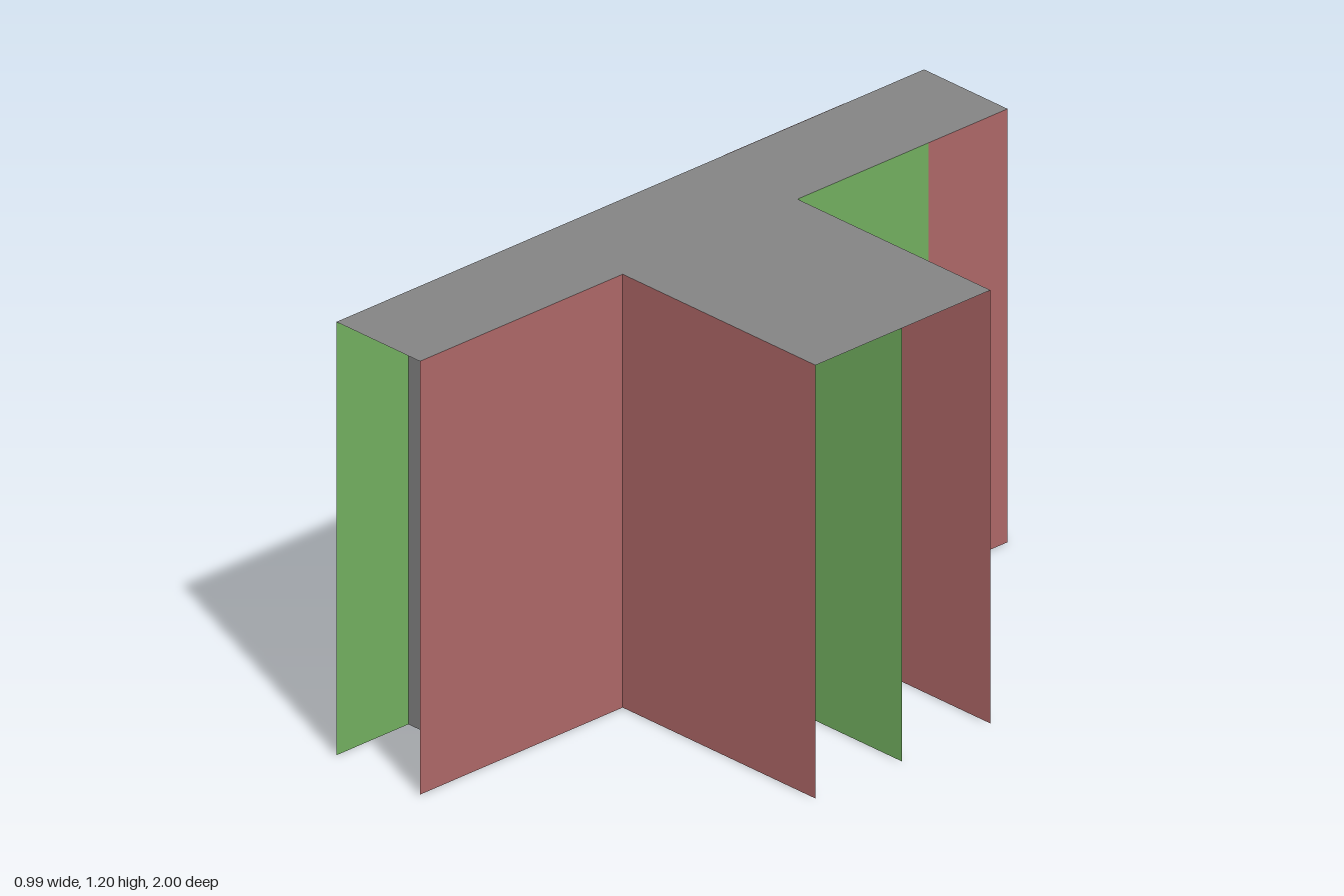
import * as THREE from 'three';

const H = 1.195;             // overall height
const BACK = -0.493, MID = -0.195, END = 0.493;   // x of bar and stem edges
const STEM_BACK = -0.285, CENTRE = 0.016, STEM_FRONT = 0.31;

export function createModel() {
  const group = new THREE.Group();
  group.name = 'teeShapedShell';

  const material = (color) => new THREE.MeshStandardMaterial({ color, side: THREE.DoubleSide });
  const darkGrey = material(0x858585);
  const red = material(0xaf6868);
  const green = material(0x73b060);

  const add = (name, geometry, mat) => {
    const mesh = new THREE.Mesh(geometry, mat);
    mesh.name = name;
    group.add(mesh);
    return mesh;
  };

  // upright sheet facing x, running from z0 to z1
  const wallAlongZ = (name, mat, x, z0, z1) => {
    const mesh = add(name, new THREE.PlaneGeometry(z1 - z0, H), mat);
    mesh.rotation.y = Math.PI / 2;
    mesh.position.set(x, H / 2, (z0 + z1) / 2);
  };

  // upright sheet facing z, running from x0 to x1
  const wallAlongX = (name, mat, z, x0, x1) => {
    const mesh = add(name, new THREE.PlaneGeometry(x1 - x0, H), mat);
    mesh.position.set((x0 + x1) / 2, H / 2, z);
  };

  // T-shaped roof sheet, drawn in (x, -z) and laid flat
  const outline = [
    [BACK, -1], [MID, -1], [MID, STEM_BACK], [END, STEM_BACK],
    [END, STEM_FRONT], [MID, STEM_FRONT], [MID, 1], [BACK, 1],
  ].map(([x, z]) => new THREE.Vector2(x, -z));
  const roof = add('roof', new THREE.ShapeGeometry(new THREE.Shape(outline)), darkGrey);
  roof.rotation.x = -Math.PI / 2;
  roof.position.y = H;

  // long outer wall with its red panel on the outside
  wallAlongZ('outerWall', green, BACK, -1, 1);
  wallAlongZ('outerPanel', red, BACK - 0.001, -0.73, -0.32);

  // long inner wall: red, with a green stretch
  wallAlongZ('innerWallBack', red, MID, -1, -0.73);
  wallAlongZ('innerWallMiddle', green, MID, -0.73, CENTRE);
  wallAlongZ('innerWallFront', red, MID, CENTRE, 1);

  // stem side walls, and the divider running through stem and bar
  wallAlongX('stemBackWall', red, STEM_BACK, MID, END);
  wallAlongX('stemFrontWall', red, STEM_FRONT, MID, END);
  wallAlongX('centreDivider', green, CENTRE, BACK, END);

  // cross wall set back from the front opening of the bar
  wallAlongX('crossWall', darkGrey, 0.755, BACK, MID);

  return group;
}
